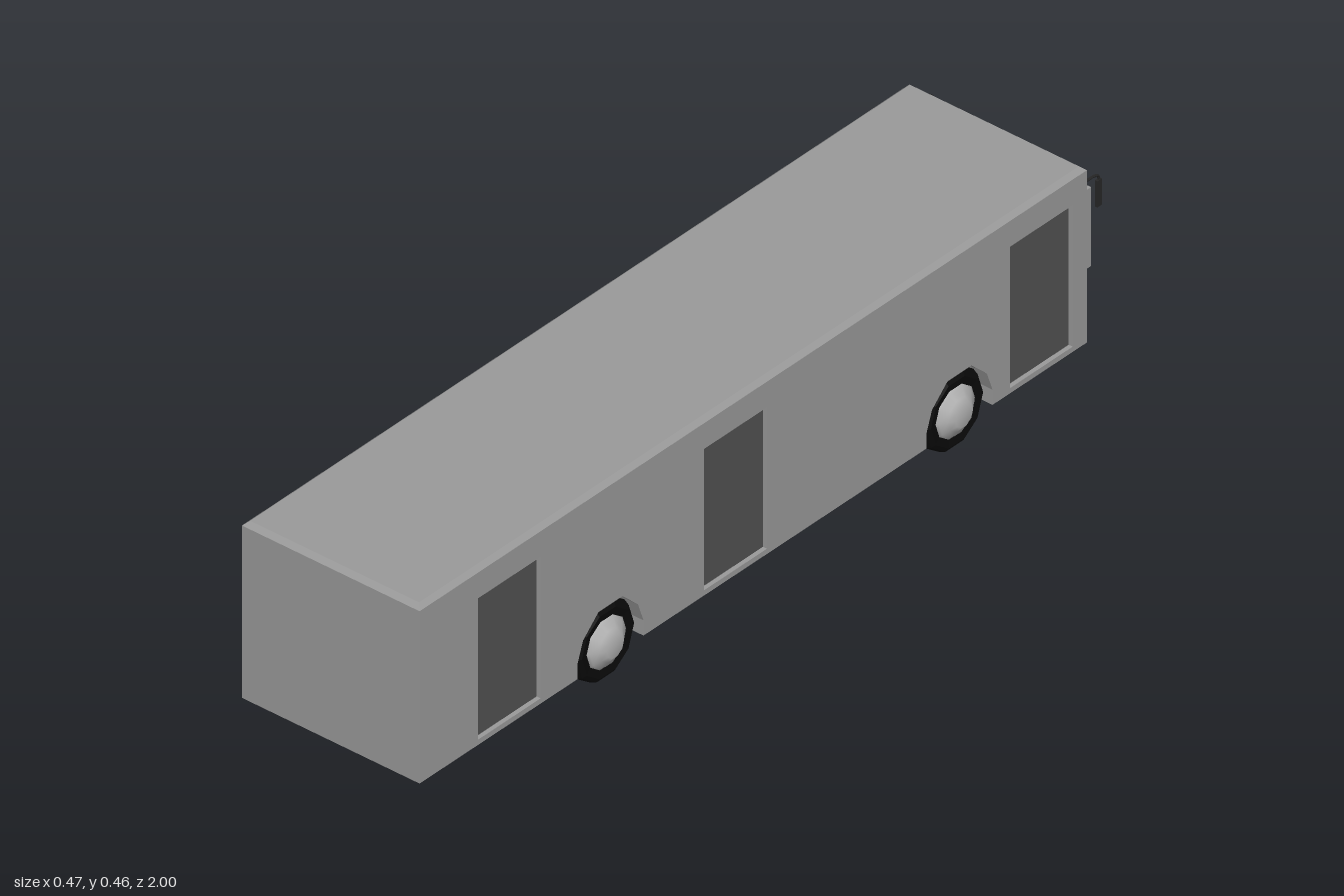
import * as THREE from 'three';

const W = 0.221, INNER = 0.168;         // half width of body, inner wall of wheel wells
const FLOOR = 0.058, EAVE = 0.453, ROOF = 0.463;
const BACK = 1, NOSE = -0.943;
const LEN = BACK - NOSE, MID = (BACK + NOSE) / 2;
const AXLES = [0.444, -0.572];
const DOORS = [0.739, 0.08, -0.81];     // door centres along z
const DOOR_W = 0.183, DOOR_H = 0.324, DOOR_Y = 0.232;

const mat = (color) => new THREE.MeshStandardMaterial({ color, flatShading: true, side: THREE.DoubleSide });

export function createModel() {
  const group = new THREE.Group();
  const paint = mat(0x999999), doorGrey = mat(0x515151), glass = mat(0x636363);
  const black = mat(0x090909), mirrorGrey = mat(0x262626);
  const hubMat = new THREE.MeshStandardMaterial({ color: 0xb2b2b2 });

  const add = (name, geometry, material, x = 0, y = 0, z = 0, parent = group) => {
    const m = new THREE.Mesh(geometry, material);
    m.name = name;
    m.position.set(x, y, z);
    parent.add(m);
    return m;
  };
  const box = (name, w, h, d, material, x, y, z) => add(name, new THREE.BoxGeometry(w, h, d), material, x, y, z);
  const rectHole = (u, v, w, h) => new THREE.Path([
    [u - w / 2, v - h / 2], [u + w / 2, v - h / 2], [u + w / 2, v + h / 2], [u - w / 2, v + h / 2],
  ].map((p) => new THREE.Vector2(...p)));

  // Body core between the wheel wells
  box('bodyCore', INNER * 2, EAVE - FLOOR, LEN, paint, 0, (FLOOR + EAVE) / 2, MID);

  // Side walls with wheel arches; shape runs along -z
  const arch = [[-0.096, 0], [-0.096, 0.035], [-0.08, 0.08], [-0.035, 0.122],
    [0.035, 0.122], [0.08, 0.08], [0.096, 0.035], [0.096, 0]];
  const sideWall = (withDoors) => {
    const s = new THREE.Shape();
    s.moveTo(-BACK, FLOOR);
    for (const z of AXLES) for (const [u, v] of arch) s.lineTo(u - z, FLOOR + v);
    s.lineTo(-NOSE, FLOOR);
    s.lineTo(-NOSE, EAVE);
    s.lineTo(-BACK, EAVE);
    s.closePath();
    if (withDoors) for (const z of DOORS) s.holes.push(rectHole(-z, DOOR_Y, DOOR_W, DOOR_H));
    return new THREE.ExtrudeGeometry(s, { depth: W - INNER, bevelEnabled: false }).rotateY(Math.PI / 2);
  };
  add('leftWall', sideWall(true), paint, INNER);
  add('rightWall', sideWall(false), paint, -W);

  // Doors set slightly into the left wall
  for (const z of DOORS) box('door', 0.04, DOOR_H, DOOR_W, doorGrey, W - 0.03, DOOR_Y, z);

  // Roof with chamfered edges
  const roof = new THREE.BoxGeometry(W * 2, ROOF - EAVE, LEN);
  const p = roof.attributes.position;
  for (let i = 0; i < p.count; i++) {
    if (p.getY(i) > 0) {
      p.setX(i, p.getX(i) - Math.sign(p.getX(i)) * 0.011);
      p.setZ(i, p.getZ(i) - Math.sign(p.getZ(i)) * 0.011);
    }
  }
  add('roof', roof, paint, 0, (EAVE + ROOF) / 2, MID);

  // Windscreen panel with painted rim and a shallow recess
  const panel = new THREE.Shape([[-W, 0.227], [W, 0.227], [W, 0.408], [-W, 0.408]].map((q) => new THREE.Vector2(...q)));
  panel.holes.push(rectHole(0, 0.314, 0.32, 0.052));
  const panelGeo = new THREE.ExtrudeGeometry(panel, { depth: 0.012, bevelEnabled: false });
  add('windscreen', panelGeo, [glass, paint], 0, 0, NOSE - 0.012);
  box('windscreenRecess', 0.32, 0.052, 0.005, glass, 0, 0.314, NOSE - 0.002);

  // Wheels: ten-sided tyre with a domed hub on both faces
  const lathe = (pts, n) => new THREE.LatheGeometry(pts.map((q) => new THREE.Vector2(...q)), n).rotateZ(-Math.PI / 2);
  const tyre = lathe([[0.058, -0.018], [0.075, -0.021], [0.084, -0.015], [0.09, 0],
    [0.084, 0.015], [0.075, 0.021], [0.058, 0.018]], 10);
  const hub = lathe([[0, -0.036], [0.025, -0.036], [0.037, -0.029], [0.05, -0.021], [0.061, -0.014],
    [0.061, 0.014], [0.052, 0.021], [0.037, 0.031], [0.025, 0.04], [0, 0.04]], 10);
  for (const z of AXLES) for (const side of [-1, 1]) {
    const wheel = new THREE.Group();
    wheel.name = 'wheel';
    wheel.position.set(side * 0.193, 0.088, z);
    wheel.rotation.y = side < 0 ? Math.PI : 0;
    group.add(wheel);
    add('tyre', tyre, black, 0, 0, 0, wheel);
    add('hub', hub, hubMat, 0, 0, 0, wheel);
  }

  // Mirrors hanging from bent arms
  for (const side of [-1, 1]) {
    const x = side * 0.207;
    const arm = new THREE.CatmullRomCurve3([[0.414, NOSE + 0.005], [0.414, -0.978], [0.41, -0.991], [0.395, -0.995]]
      .map(([y, z]) => new THREE.Vector3(x, y, z)));
    add('mirrorArm', new THREE.TubeGeometry(arm, 10, 0.0028, 6), mirrorGrey);
    box('mirror', 0.006, 0.06, 0.014, mirrorGrey, x, 0.37, -0.993);
  }

  return group;
}
